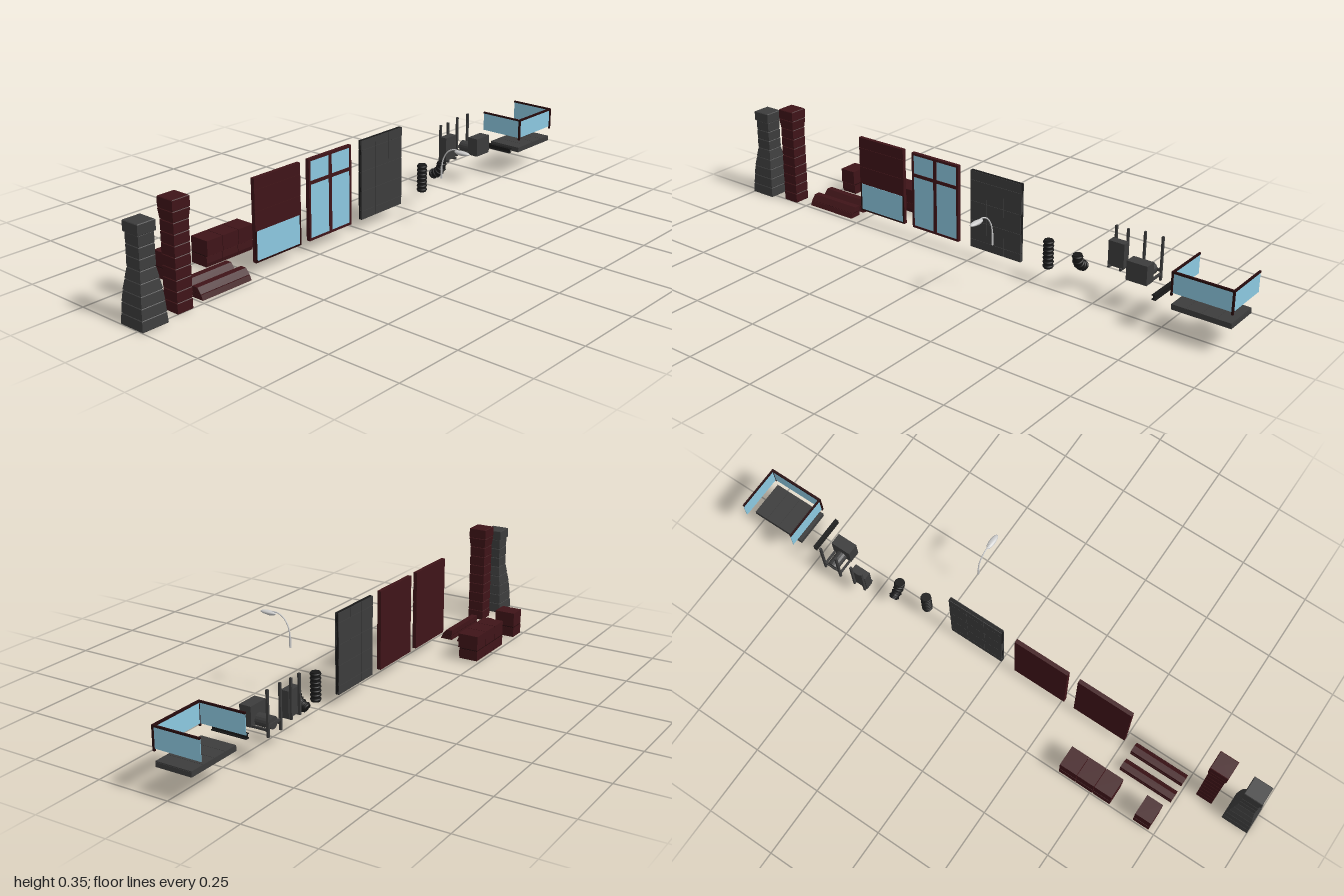
import * as THREE from 'three';

const mat = (color, opts = {}) => new THREE.MeshStandardMaterial({ color, flatShading: true, ...opts });
const RED = mat(0x3f1418), DARKRED = mat(0x260a0c), GREY = mat(0x3c3c3c), BLACK = mat(0x191919);
const GLASS = mat(0x8cc8e0, { side: THREE.DoubleSide });
const STEEL = new THREE.MeshStandardMaterial({ color: 0xcccccc });
const PIPE = new THREE.MeshStandardMaterial({ color: 0x191919, side: THREE.DoubleSide });

export function createModel() {
  const root = new THREE.Group();

  function part(name) {
    const g = new THREE.Group();
    g.name = name;
    root.add(g);
    return g;
  }
  function add(g, name, geo, material) {
    const m = new THREE.Mesh(geo, material);
    m.name = name;
    g.add(m);
    return m;
  }
  // box given by its limits on each axis
  function box(g, name, material, x0, x1, y0, y1, z0, z1) {
    const m = add(g, name, new THREE.BoxGeometry(x1 - x0, y1 - y0, z1 - z0), material);
    m.position.set((x0 + x1) / 2, (y0 + y1) / 2, (z0 + z1) / 2);
    return m;
  }
  // (z, y) outline extruded along x
  function prism(g, name, material, pts, x0, x1) {
    const shape = new THREE.Shape(pts.map(([z, y]) => new THREE.Vector2(-z, y)));
    const geo = new THREE.ExtrudeGeometry(shape, { depth: x1 - x0, bevelEnabled: false });
    geo.rotateY(Math.PI / 2);
    add(g, name, geo, material).position.x = x0;
  }

  // square pillars of stacked blocks with narrow joints
  function pillar(name, material, x, blocks, step, halfAt) {
    const g = part(name);
    const pts = [new THREE.Vector2(0, 0)];
    for (let i = 0; i < blocks; i++) {
      const a = i * step, b = a + step, lo = halfAt(a + 0.0001), hi = halfAt(b - 0.0001);
      for (const [h, y] of [[lo - 0.002, a], [lo, a + 0.002], [hi, b - 0.002], [hi - 0.002, b]])
        pts.push(new THREE.Vector2(h * Math.SQRT2, y));
    }
    pts.push(new THREE.Vector2(0, blocks * step));
    const geo = new THREE.LatheGeometry(pts, 4);
    geo.rotateY(Math.PI / 4);
    add(g, 'stackedBlocks', geo, material).position.set(x, 0, -0.027);
  }
  pillar('taperedPillar', GREY, -0.952, 9, 0.0355, (y) => {
    if (y > 0.284) return 0.033;
    if (y > 0.18) return 0.029;
    return y < 0.095 ? 0.048 - 0.063 * y : 0.042 - (y - 0.095) * 0.153;
  });
  pillar('straightPillar', RED, -0.824, 10, 0.0355, (y) => (y > 0.319 ? 0.033 : 0.0295));

  // two cornice strips, with a stepped sloping front
  for (const zBack of [-0.127, -0.061]) {
    const g = part('corniceStrip');
    const z = (d) => zBack + d;
    prism(g, 'lowerMoulding', RED, [[z(0), 0], [z(0.045), 0], [z(0.038), 0.016], [z(0), 0.016]], -0.74, -0.54);
    prism(g, 'joint', DARKRED, [[z(0.001), 0.016], [z(0.035), 0.016], [z(0.035), 0.018], [z(0.001), 0.018]], -0.739, -0.541);
    prism(g, 'upperMoulding', RED, [[z(0), 0.018], [z(0.037), 0.018], [z(0.022), 0.036], [z(0), 0.036]], -0.74, -0.54);
  }

  // two-course ledge blocks: one single, one row of three
  function ledgeBlock(g, x0, x1) {
    prism(g, 'lowerCourse', RED,
      [[-0.247, 0.008], [-0.18, 0.008], [-0.176, 0.022], [-0.178, 0.043], [-0.247, 0.043]], x0, x1);
    box(g, 'courseJoint', DARKRED, x0 + 0.001, x1 - 0.001, 0.043, 0.047, -0.246, -0.18);
    box(g, 'upperCourse', RED, x0, x1, 0.047, 0.098, -0.247, -0.173);
  }
  ledgeBlock(part('singleLedgeBlock'), -0.727, -0.667);
  const ledge = part('longLedge');
  for (let i = 0; i < 3; i++) ledgeBlock(ledge, -0.576 + i * 0.067, -0.511 + i * 0.067);

  // wall panel with a low window
  const Y0 = 0.04, Y1 = 0.318, ZB = -0.045, ZF = -0.031;
  const low = part('lowWindowPanel');
  box(low, 'core', RED, -0.503, -0.302, Y0, Y1, ZB, ZF - 0.002);
  for (const [a, b] of [[0.145, 0.208], [0.211, 0.279], [0.282, Y1]])
    box(low, 'board', RED, -0.503, -0.302, a, b, ZF - 0.002, ZF);
  box(low, 'pane', GLASS, -0.497, -0.308, 0.046, 0.143, ZF - 0.002, ZF - 0.0005);
  for (const x of [-0.503, -0.308]) box(low, 'sideFrame', DARKRED, x, x + 0.006, Y0, 0.145, ZF - 0.002, ZF);
  box(low, 'sill', DARKRED, -0.503, -0.302, Y0, 0.046, ZF - 0.002, ZF);

  // wall panel with a tall four-light window
  const tall = part('tallWindowPanel');
  const X0 = -0.263, X1 = -0.062;
  box(tall, 'backing', RED, X0, X1, Y0, Y1, ZB, ZF - 0.004);
  box(tall, 'pane', GLASS, X0 + 0.005, X1 - 0.005, Y0 + 0.005, Y1 - 0.005, ZF - 0.004, ZF - 0.002);
  for (const x of [X0, X1 - 0.008]) box(tall, 'jamb', RED, x, x + 0.008, Y0, Y1, ZF - 0.004, ZF);
  for (const y of [Y0, Y1 - 0.008]) box(tall, 'rail', RED, X0, X1, y, y + 0.008, ZF - 0.004, ZF);
  box(tall, 'mullion', RED, -0.169, -0.156, Y0, Y1, ZF - 0.004, ZF);
  box(tall, 'transom', RED, X0, X1, 0.231, 0.243, ZF - 0.004, ZF);

  // tiled wall panel
  const tiled = part('tiledPanel');
  box(tiled, 'core', BLACK, -0.01, 0.196, Y0, Y1, ZB + 0.002, ZF - 0.002);
  const rows = [Y0, 0.07, 0.14, 0.21, 0.285, Y1];
  for (let r = 0; r < 5; r++)
    for (let c = 0; c < 3; c++)
      box(tiled, 'tile', GREY, -0.01 + c * 0.069, 0.058 + c * 0.069, rows[r] + 0.0005, rows[r + 1] - 0.0005, ZB, ZF);

  // wall lamp: curved arm and flattened head
  const lamp = part('wallLamp');
  const arm = new THREE.CatmullRomCurve3(
    [[0.17, 0.135], [0.21, 0.136], [0.24, 0.142], [0.268, 0.16], [0.281, 0.185], [0.281, 0.205]]
      .map(([y, z]) => new THREE.Vector3(0.206, y, z)));
  add(lamp, 'arm', new THREE.TubeGeometry(arm, 32, 0.0024, 8), STEEL);
  add(lamp, 'armSleeve', new THREE.CylinderGeometry(0.0035, 0.0035, 0.04, 10), STEEL).position.set(0.206, 0.19, 0.1355);
  const head = add(lamp, 'head', new THREE.SphereGeometry(1, 20, 12), STEEL);
  head.scale.set(0.011, 0.007, 0.031);
  head.position.set(0.206, 0.276, 0.219);
  const lens = add(lamp, 'lens', new THREE.SphereGeometry(1, 16, 10), STEEL);
  lens.scale.set(0.008, 0.005, 0.02);
  lens.position.set(0.206, 0.272, 0.213);

  // ribbed pipes: a tube along a path, with a ring at every rib
  function ribbedPipe(name, pts, ribs) {
    const g = part(name);
    const path = new THREE.CatmullRomCurve3(pts.map((p) => new THREE.Vector3(...p)));
    add(g, 'pipe', new THREE.TubeGeometry(path, 24, 0.0155, 16), PIPE);
    for (let i = 0; i < ribs; i++) {
      const t = (i + 0.5) / ribs;
      const ring = add(g, 'rib', new THREE.TorusGeometry(0.0145, 0.004, 8, 20), PIPE);
      ring.position.copy(path.getPointAt(t));
      ring.lookAt(ring.position.clone().add(path.getTangentAt(t)));
    }
    for (const t of [0, 1]) {
      const cap = add(g, 'endCap', new THREE.CircleGeometry(0.0155, 16), PIPE);
      cap.position.copy(path.getPointAt(t));
      cap.lookAt(cap.position.clone().add(path.getTangentAt(t)));
    }
  }
  ribbedPipe('straightPipe', [[0.308, 0.057, -0.03], [0.308, 0.105, -0.03], [0.308, 0.156, -0.03]], 7);
  ribbedPipe('elbowPipe', [[0.419, 0.137, -0.03], [0.419, 0.117, -0.032], [0.419, 0.096, -0.046], [0.419, 0.081, -0.073]], 5);

  // small unit between two posts
  const unit = part('smallUnit');
  box(unit, 'body', GREY, 0.503, 0.561, 0.108, 0.194, -0.104, -0.076);
  for (const x of [0.507, 0.55]) {
    box(unit, 'post', GREY, x, x + 0.007, 0.103, 0.236, -0.112, -0.104);
    box(unit, 'sideBracket', GREY, x, x + 0.007, 0.103, 0.111, -0.112, -0.068);
  }

  // unit carried by a duct in front of two posts
  const ducted = part('ductedUnit');
  box(ducted, 'body', GREY, 0.607, 0.681, 0.112, 0.178, -0.055, -0.014);
  const duct = add(ducted, 'duct', new THREE.CylinderGeometry(0.02, 0.02, 0.055, 16), GREY);
  duct.rotation.x = Math.PI / 2;
  duct.position.set(0.644, 0.127, -0.082);
  for (const x of [0.609, 0.672]) {
    box(ducted, 'post', GREY, x, x + 0.007, 0.093, 0.242, -0.115, -0.107);
    box(ducted, 'bracket', GREY, x, x + 0.007, 0.112, 0.119, -0.107, -0.055);
  }
  box(ducted, 'crossBar', GREY, 0.612, 0.676, 0.123, 0.131, -0.113, -0.107);

  // I-section beam
  const beam = part('supportBeam');
  for (const y of [0.106, 0.12]) box(beam, 'flange', BLACK, 0.732, 0.746, y, y + 0.003, -0.085, 0.042);
  box(beam, 'web', BLACK, 0.737, 0.741, 0.109, 0.12, -0.085, 0.042);

  // balcony: paved slab with glass on three sides
  const balcony = part('balcony');
  box(balcony, 'slab', GREY, 0.797, 0.997, 0.093, 0.108, -0.088, 0.038);
  for (let i = 0; i < 4; i++)
    box(balcony, 'paving', GREY, 0.797 + i * 0.05, 0.846 + i * 0.05, 0.108, 0.111, -0.088, 0.038);
  box(balcony, 'frontGlass', GLASS, 0.797, 0.997, 0.149, 0.216, 0.037, 0.039);
  box(balcony, 'frontRail', DARKRED, 0.794, 1, 0.214, 0.22, 0.035, 0.043);
  for (const x of [0.797, 0.997]) {
    box(balcony, 'sideGlass', GLASS, x - 0.001, x + 0.001, 0.149, 0.216, -0.124, 0.038);
    box(balcony, 'sideRail', DARKRED, x - 0.003, x + 0.003, 0.214, 0.22, -0.124, 0.04);
    box(balcony, 'cornerPost', DARKRED, x - 0.003, x + 0.003, 0.141, 0.22, 0.036, 0.043);
  }
  return root;
}
